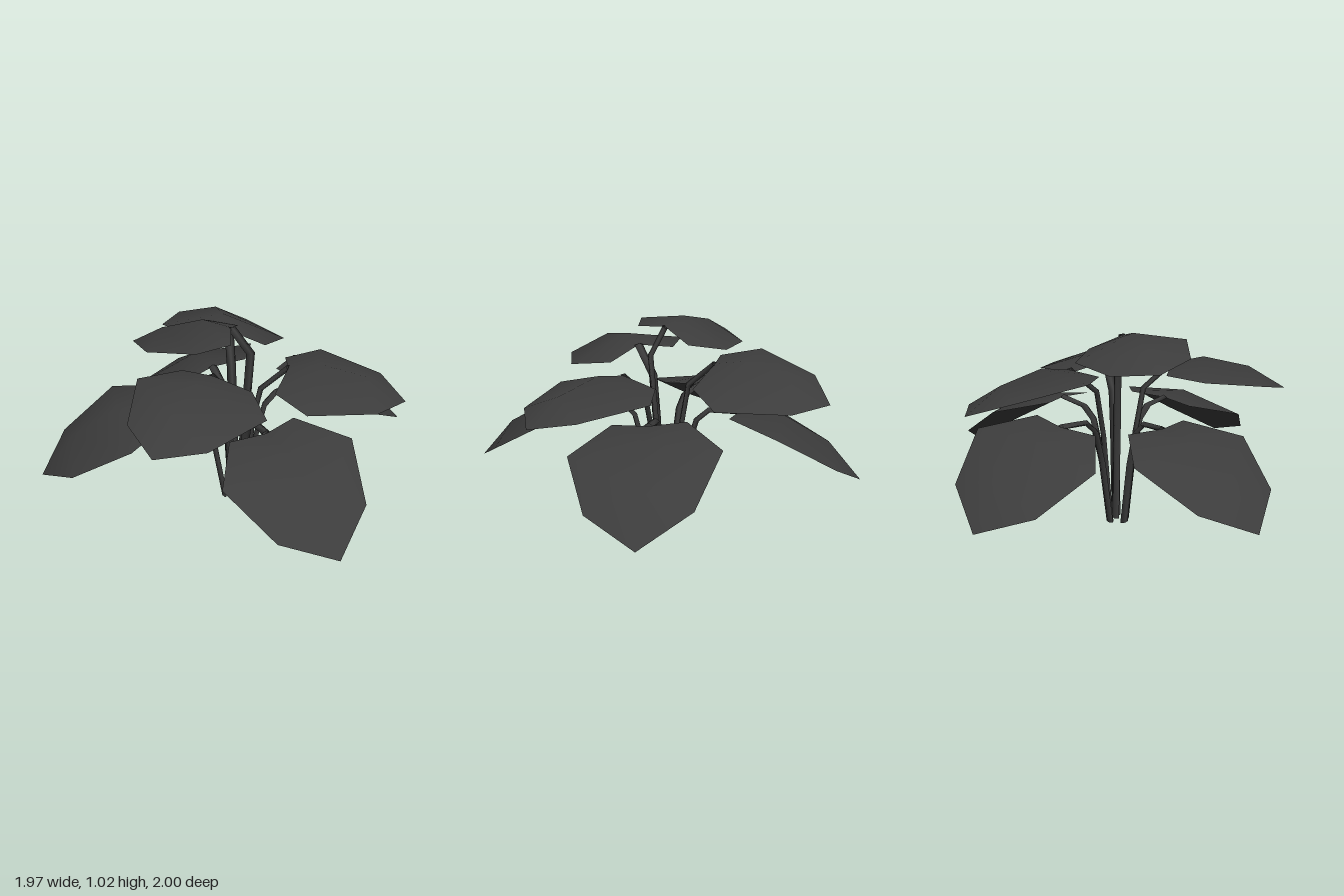
import * as THREE from 'three';

const material = new THREE.MeshStandardMaterial({ color: 0x3c3c3c, side: THREE.DoubleSide });

// Leaf cross-sections: [distance along the leaf, half width, height]
const lowShape = {
  rib: [[0.04, 0, 0.605], [0.26, 0, 0.6], [0.49, 0, 0.47], [0.66, 0, 0.27]],
  edge: [[0, 0.18, 0.605], [0.24, 0.355, 0.545], [0.52, 0.24, 0.38]],
};
const midShape = {
  rib: [[0.04, 0, 0.845], [0.2, 0, 0.875], [0.43, 0, 0.825], [0.62, 0, 0.71]],
  edge: [[0, 0.185, 0.8], [0.17, 0.335, 0.785], [0.49, 0.2, 0.745]],
};
const topShape = {
  rib: [[0.02, 0, 0.99], [0.16, 0, 1.025], [0.36, 0, 0.975], [0.51, 0, 0.895]],
  edge: [[0, 0.17, 0.95], [0.15, 0.29, 0.935], [0.4, 0.2, 0.905]],
};

// One leaf: base position, heading in degrees (from +x towards +z), lift and sideways roll
const leaves = [
  { name: 'lowLeafFront', shape: lowShape, x: -0.04, z: 0.34, angle: 85.5, lift: -0.015, roll: -0.08 },
  { name: 'lowLeafBack', shape: lowShape, x: 0.035, z: -0.345, angle: -93, lift: -0.015, roll: 0.12 },
  { name: 'lowLeafLeft', shape: lowShape, x: 0.325, z: 0.015, angle: -6, roll: -0.07 },
  { name: 'lowLeafRight', shape: lowShape, x: -0.34, z: -0.115, angle: 191.5, lift: -0.01 },
  { name: 'middleLeafFrontLeft', shape: midShape, x: 0.16, z: 0.145, angle: 36, lift: -0.05, roll: -0.05 },
  { name: 'middleLeafFrontRight', shape: midShape, x: -0.19, z: 0.155, angle: 141, roll: 0.1 },
  { name: 'middleLeafBack', shape: midShape, x: 0.065, z: -0.225, angle: -76, roll: -0.21 },
  { name: 'topLeaf', shape: topShape, x: -0.025, z: 0.015, angle: 212, roll: -0.13 },
];

// Indexed smooth mesh from flat point and index lists
function makeMesh(name, points, index) {
  const geometry = new THREE.BufferGeometry();
  geometry.setAttribute('position', new THREE.Float32BufferAttribute(points, 3));
  geometry.setIndex(index);
  geometry.computeVertexNormals();
  const mesh = new THREE.Mesh(geometry, material);
  mesh.name = name;
  return mesh;
}

function makeLeaf({ name, shape, x, z, angle, lift = 0, roll = 0 }) {
  const a = THREE.MathUtils.degToRad(angle);
  const c = Math.cos(a), s = Math.sin(a);
  const points = [];
  const add = ([along, w, y], side) => {
    const across = w * side;
    points.push(x + c * along - s * across, y + lift + roll * across, z + s * along + c * across);
  };
  shape.rib.forEach((p) => add(p, 1));
  shape.edge.forEach((p) => add(p, 1));
  shape.edge.forEach((p) => add(p, -1));

  // Two halves meeting along the midrib
  const half = [[0, 4, 1], [4, 5, 1], [1, 5, 2], [5, 6, 2], [2, 6, 3]];
  const index = [];
  for (const [i, j, k] of half) {
    const m = (n) => (n > 3 ? n + 3 : n);
    index.push(i, j, k, m(i), m(k), m(j));
  }
  return { mesh: makeMesh(name, points, index), attach: new THREE.Vector3(...points.slice(0, 3)) };
}

// Flattened four-sided stem, broad across its bending plane and thin within it
function makeStem(name, path, dir) {
  const across = new THREE.Vector3(-dir.z, 0, dir.x);
  const points = [], index = [];
  path.forEach((p, i) => {
    const along = path[Math.min(i + 1, path.length - 1)].clone().sub(path[Math.max(i - 1, 0)]).normalize();
    const thin = new THREE.Vector3().crossVectors(across, along).normalize();
    for (let k = 0; k < 4; k++) {
      const t = (k * Math.PI) / 2;
      const v = p.clone().addScaledVector(across, 0.024 * Math.cos(t)).addScaledVector(thin, 0.014 * Math.sin(t));
      points.push(v.x, v.y, v.z);
      if (i > 0) {
        const b = i * 4 + k, n = i * 4 + ((k + 1) % 4);
        index.push(b - 4, n - 4, n, b - 4, n, b);
      }
    }
  });
  // Stems start exactly on the ground
  for (let k = 0; k < 4; k++) points[k * 3 + 1] = 0;
  return makeMesh(name, points, index);
}

export function createModel() {
  const group = new THREE.Group();
  group.name = 'leafyPlant';
  for (const leaf of leaves) {
    const { mesh, attach } = makeLeaf(leaf);
    group.add(mesh);

    // Stems rise from a tight cluster, then bend outwards to the leaf base
    const dir = new THREE.Vector3(attach.x, 0, attach.z).normalize();
    const at = (r, y) => new THREE.Vector3(dir.x * r - 0.015, y, dir.z * r);
    let path;
    if (leaf.shape === topShape) {
      path = [
        new THREE.Vector3(0, 0, 0), new THREE.Vector3(0.02, 0.5, 0.04),
        new THREE.Vector3(0.035, 0.86, 0.065), attach,
      ];
      dir.set(0, 0, 1);
    } else if (leaf.shape === lowShape) {
      path = [at(0.06, 0), at(0.115, 0.34), at(0.165, 0.52), at(0.23, 0.58), attach];
    } else {
      path = [at(0.045, 0), at(0.09, 0.48), at(0.13, attach.y - 0.13), attach];
    }
    group.add(makeStem(leaf.name.replace('Leaf', 'Stem'), path, dir));
  }
  return group;
}
